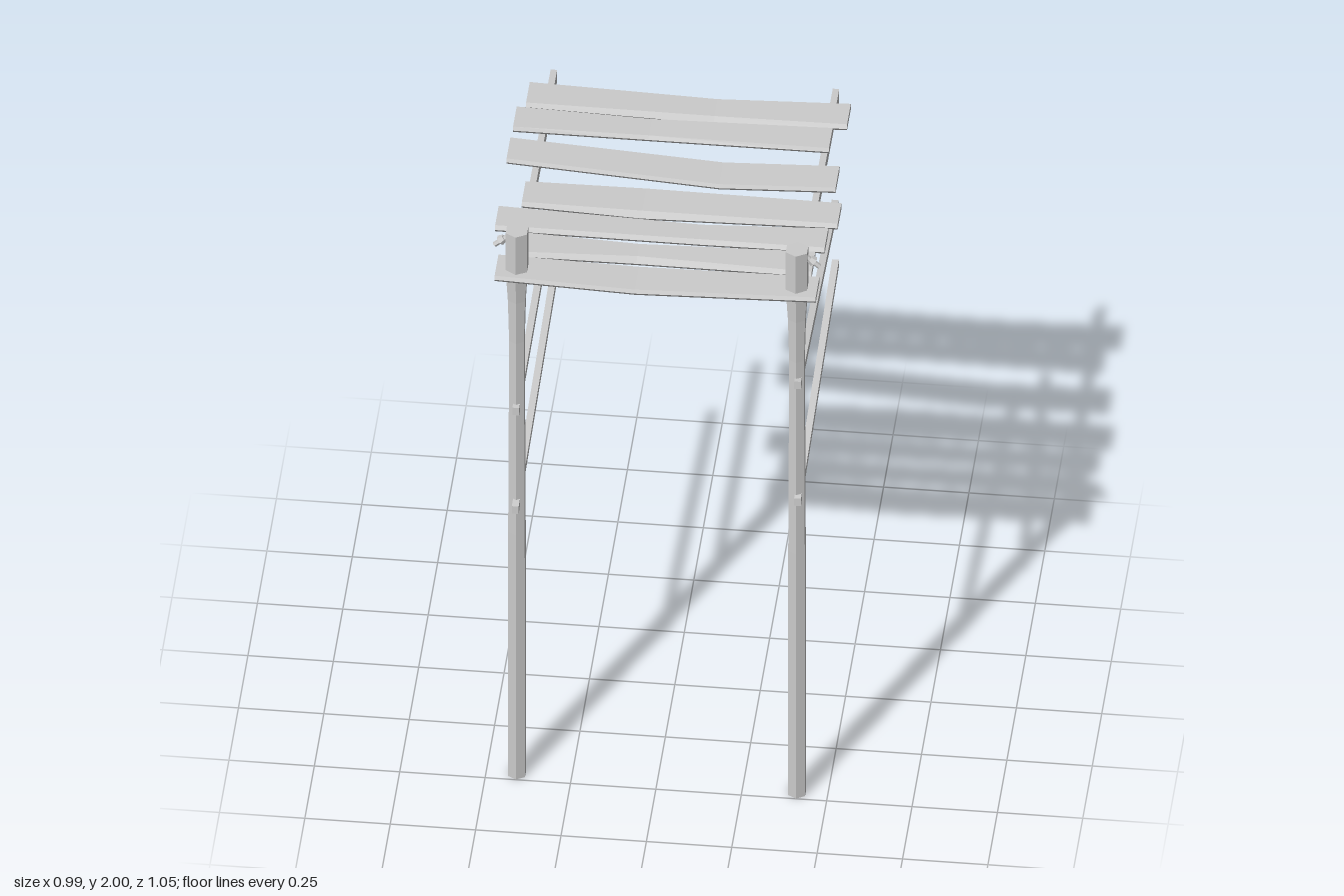
import * as THREE from 'three';

const mat = new THREE.MeshStandardMaterial({ color: 0xcccccc, flatShading: true });

function addMesh(parent, geometry, name) {
  const mesh = new THREE.Mesh(geometry, mat);
  mesh.name = name;
  parent.add(mesh);
  return mesh;
}

// Sagging board: three stations (left, middle, right), each a six-sided section.
// back / front are the outer edges in z, bevel is the slope width along the front.
function plankGeometry({ x, back, front, bevel = [0.009, 0.024, 0.009] }) {
  const top = [1.865, 1.849, 1.865], thick = 0.021, b = 0.008;
  const rings = x.map((px, i) => {
    const t = top[i], m = t - thick * 0.5, u = t - thick;
    return [
      [t, back[i] + b], [t, front[i] - bevel[i]], [m, front[i]],
      [u, front[i] - b], [u, back[i] + b], [m, back[i]],
    ].map(([y, z]) => [px, y, z]);
  });
  const positions = [];
  const tri = (...pts) => pts.forEach((p) => positions.push(...p));
  for (let i = 0; i < 2; i++) {
    for (let j = 0; j < 6; j++) {
      const k = (j + 1) % 6;
      const [p, q] = [rings[i], rings[i + 1]];
      tri(p[j], p[k], q[k]);
      tri(p[j], q[k], q[j]);
    }
  }
  for (let j = 1; j < 5; j++) {
    tri(rings[2][0], rings[2][j], rings[2][j + 1]);
    tri(rings[0][0], rings[0][j + 1], rings[0][j]);
  }
  const g = new THREE.BufferGeometry();
  g.setAttribute('position', new THREE.Float32BufferAttribute(positions, 3));
  g.computeVertexNormals();
  return g;
}

// Square bar running back from (y0, z0) to (y1, z1) at a fixed x, with plumb ends
function barGeometry(x, y0, z0, y1, z1, width, h0, h1 = h0) {
  const g = new THREE.BoxGeometry(width, 1, 1);
  const p = g.attributes.position;
  for (let i = 0; i < p.count; i++) {
    const t = 0.5 - p.getZ(i);
    const h = THREE.MathUtils.lerp(h0, h1, t);
    p.setXYZ(i, p.getX(i) + x,
      THREE.MathUtils.lerp(y0, y1, t) + p.getY(i) * h,
      THREE.MathUtils.lerp(z0, z1, t));
  }
  g.computeVertexNormals();
  return g;
}

export function createModel() {
  const model = new THREE.Group();
  model.name = 'plankCanopy';

  // Hexagonal posts, waisted under the roof and thicker at the head
  const profile = [[0, 0], [0.029, 0], [0.028, 0.9], [0.025, 1.6], [0.029, 1.75], [0.036, 1.86], [0.036, 2], [0, 2]]
    .map(([r, y]) => new THREE.Vector2(r, y));
  for (const s of [-1, 1]) {
    const side = s > 0 ? 'left' : 'right';
    const post = addMesh(model, new THREE.LatheGeometry(profile, 6), side + 'Post');
    post.position.set(s * 0.41, 0, 0.47);

    // Small peg slanting down and out from the post head
    const peg = addMesh(model, new THREE.CylinderGeometry(0.011, 0.016, 0.016, 6), side + 'PegHead');
    const stem = addMesh(model, new THREE.CylinderGeometry(0.008, 0.008, 0.06, 6), side + 'PegStem');
    peg.position.set(s * 0.453, 1.962, 0.468);
    stem.position.set(s * 0.453, 1.96, 0.468);
    peg.rotation.z = stem.rotation.z = s * 0.86;

    // Roof rail
    addMesh(model, barGeometry(s * 0.413, 1.82, 0.48, 1.799, -0.53, 0.019, 0.032, 0.043), side + 'Rail');
  }

  // Loose side bars: x, front y and z, back y and z
  [
    [0.416, 1.53, 0.51, 1.437, -0.48],
    [0.416, 1.10, 0.51, 1.21, -0.49],
    [-0.409, 1.363, 0.51, 1.39, -0.48],
    [-0.409, 1.012, 0.525, 1.087, -0.47],
  ].forEach(([x, y0, z0, y1, z1], i) => {
    addMesh(model, barGeometry(x, y0, z0, y1, z1, 0.02, 0.027), 'sideBar' + (i + 1));
  });

  // Roof planks from back to front
  [
    { x: [-0.47, 0.08, 0.47], back: [-0.415, -0.415, -0.415], front: [-0.3, -0.302, -0.3] },
    { x: [-0.495, -0.1, 0.43], back: [-0.295, -0.3, -0.295], front: [-0.185, -0.205, -0.185], bevel: [0.006, 0.009, 0.006] },
    { x: [-0.497, 0.13, 0.47], back: [-0.147, -0.118, -0.117], front: [-0.033, 0, 0], bevel: [0.006, 0.006, 0.006] },
    { x: [-0.43, -0.08, 0.495], back: [0.055, 0.03, 0.057], front: [0.17, 0.168, 0.172] },
    { x: [-0.495, 0.1, 0.47], back: [0.18, 0.183, 0.18], front: [0.29, 0.273, 0.29], bevel: [0.01, 0.013, 0.01] },
    { x: [-0.447, -0.07, 0.445], back: [0.295, 0.294, 0.295], front: [0.408, 0.384, 0.408] },
    { x: [-0.47, -0.06, 0.47], back: [0.41, 0.402, 0.412], front: [0.525, 0.525, 0.525], bevel: [0.006, 0.006, 0.006] },
  ].forEach((spec, i) => addMesh(model, plankGeometry(spec), 'roofPlank' + (i + 1)));

  return model;
}
